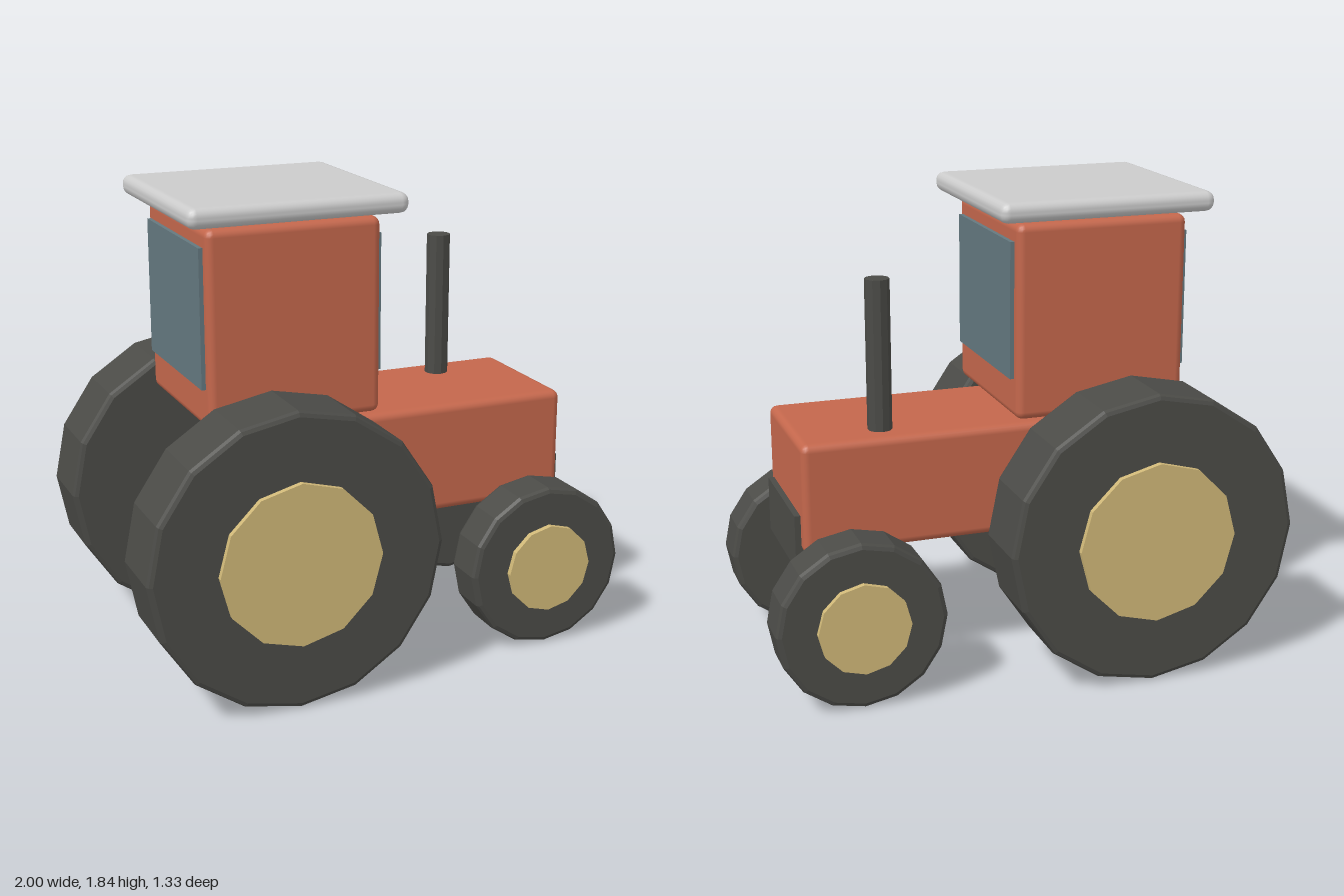
import * as THREE from 'three';
import { RoundedBoxGeometry } from 'three/addons/geometries/RoundedBoxGeometry.js';

const paint = (color, flatShading = false) => new THREE.MeshStandardMaterial({ color, flatShading });

export function createModel() {
  const group = new THREE.Group();
  const red = paint(0xc4674c);
  const rubber = paint(0x4b4b47, true);
  const dark = paint(0x4b4b47, true);
  const hubPaint = paint(0xd0b878, true);
  const glass = paint(0x64787f);
  const grey = paint(0xcccccc);

  const add = (name, geometry, material, x, y, z, parent = group) => {
    const mesh = new THREE.Mesh(geometry, material);
    mesh.name = name;
    mesh.position.set(x, y, z);
    parent.add(mesh);
    return mesh;
  };

  // Box given by its limits in x and y and its full width in z
  const roundedBox = (name, material, x0, x1, y0, y1, width, radius) =>
    add(name, new RoundedBoxGeometry(x1 - x0, y1 - y0, width, 2, radius), material,
      (x0 + x1) / 2, (y0 + y1) / 2, 0);
  const box = (name, material, x0, x1, y0, y1, width) =>
    add(name, new THREE.BoxGeometry(x1 - x0, y1 - y0, width), material,
      (x0 + x1) / 2, (y0 + y1) / 2, 0);

  // Bodywork
  roundedBox('hood', red, -0.23, 0.835, 0.54, 0.97, 0.57, 0.03);
  roundedBox('cab', red, -0.655, 0.02, 1.0, 1.743, 0.68, 0.03);
  roundedBox('roof', grey, -0.74, 0.105, 1.758, 1.835, 0.816, 0.034);
  box('frontWindow', glass, 0, 0.036, 1.155, 1.675, 0.6);
  box('rearWindow', glass, -0.671, -0.635, 1.155, 1.675, 0.6);
  box('grille', dark, 0.78, 0.858, 0.47, 0.685, 0.464);

  // Exhaust pipe on the right of the hood
  add('exhaust', new THREE.CylinderGeometry(0.047, 0.047, 0.6, 10), dark, 0.505, 1.247, -0.163);

  // Faceted tyre with softened shoulders, plus a hub disc on the outer face
  const wheel = (name, x, radius, width, z, hubRadius, side) => {
    const w = width / 2;
    const b = 0.02;
    const profile = [
      [0, -w], [radius - b, -w], [radius - b * 0.3, -w + b * 0.3], [radius, -w + b],
      [radius, w - b], [radius - b * 0.3, w - b * 0.3], [radius - b, w], [0, w],
    ].map(([r, y]) => new THREE.Vector2(r, y));
    const part = new THREE.Group();
    part.name = name;
    part.position.set(x, radius, side * z);
    add('tyre', new THREE.LatheGeometry(profile, 16).rotateX(Math.PI / 2), rubber, 0, 0, 0, part);
    add('hub', new THREE.CylinderGeometry(hubRadius, hubRadius, 0.06, 12).rotateX(Math.PI / 2),
      hubPaint, 0, 0, side * (w - 0.008), part);
    group.add(part);
  };

  for (const side of [1, -1]) {
    const label = side > 0 ? 'left' : 'right';
    wheel(label + 'RearWheel', -0.428, 0.572, 0.296, 0.493, 0.313, side);
    wheel(label + 'FrontWheel', 0.672, 0.326, 0.186, 0.412, 0.177, side);
  }

  return group;
}
